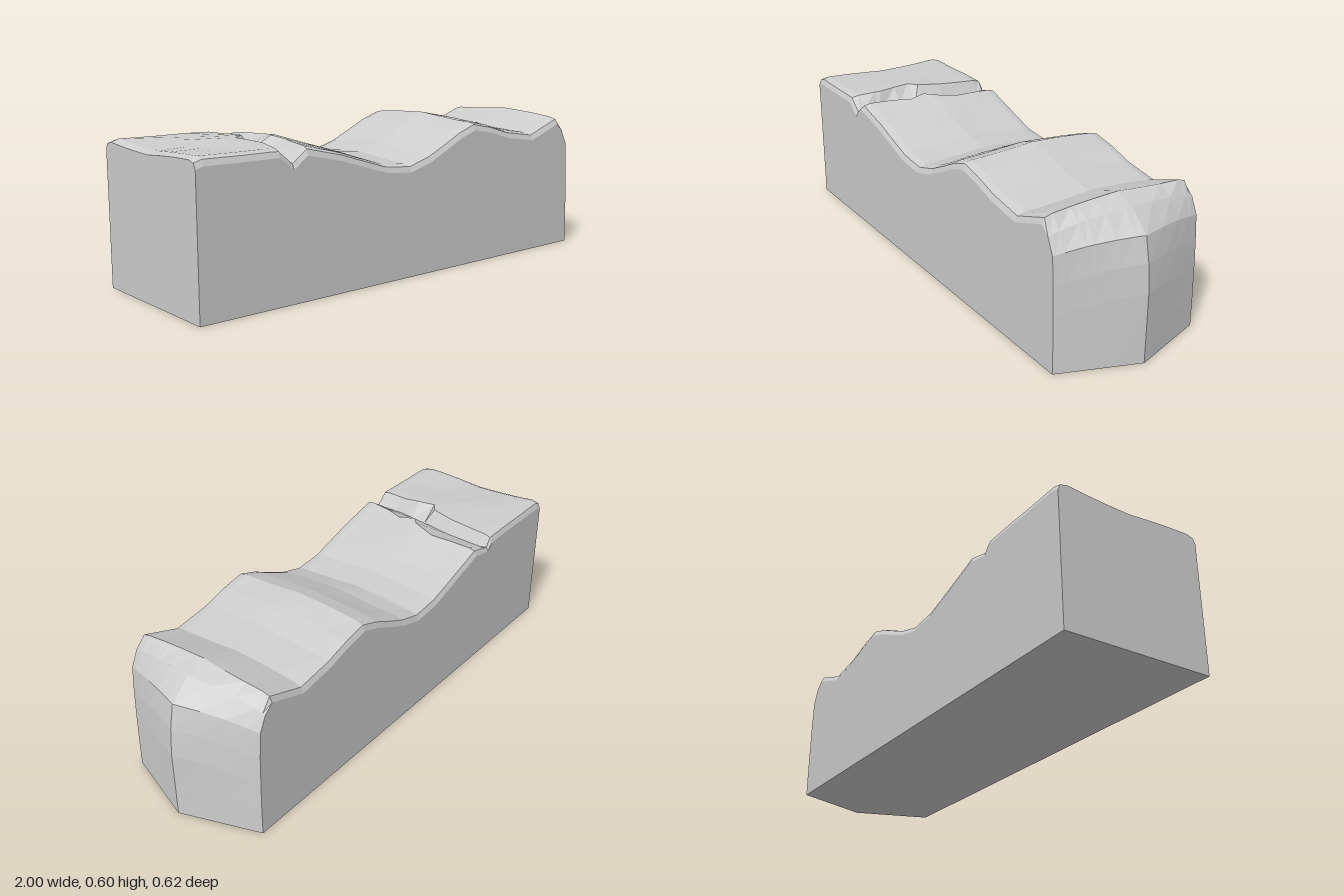
import * as THREE from 'three';

const HALF = 0.31;
// columns across the block, dense enough to shape the crack
const Z = [-0.31, -0.3, -0.27, -0.19, -0.1, 0, 0.03, 0.1, 0.17, 0.2, 0.27, 0.3, 0.31];

// wavy top line along the length: [x, height]
const RIDGE = [[-1, 0.556], [-0.97, 0.567], [-0.82, 0.571], [-0.7, 0.576], [-0.53, 0.577], [-0.46, 0.565],
  [-0.38, 0.538], [-0.28, 0.506], [-0.17, 0.472], [-0.05, 0.461], [0.05, 0.489], [0.13, 0.525],
  [0.22, 0.568], [0.3, 0.595], [0.4, 0.575], [0.5, 0.545], [0.65, 0.522], [0.73, 0.55], [0.81, 0.578]];

// crack lines across the block: [z, value]
const CRACK_LEFT = [[-0.31, -0.585], [-0.1, -0.595], [0, -0.615], [0.03, -0.66], [0.17, -0.64], [0.2, -0.645], [0.31, -0.665]];
const CRACK_FLOOR = [[-0.31, -0.56], [-0.1, -0.565], [0.03, -0.585], [0.17, -0.615], [0.31, -0.605]];
const CRACK_RIGHT = [[-0.31, -0.465], [-0.1, -0.445], [0, -0.475], [0.03, -0.505], [0.1, -0.49], [0.17, -0.515], [0.31, -0.545]];
const CRACK_DEPTH = [[-0.31, 0.03], [-0.27, 0.05], [0, 0.062], [0.17, 0.06], [0.31, 0.045]];

// nose rows: [x at centre, y at centre, x at edge, y at edge]
const NOSE = [[0.89, 0.548, 0.845, 0.5], [0.97, 0.476, 0.874, 0.44],
  [0.99, 0.38, 0.882, 0.33], [1, 0.27, 0.886, 0.22], [1, 0.12, 0.889, 0.11], [1, 0, 0.89, 0]];

function lerpTable(table, t) {
  for (let i = 1; i < table.length; i++) {
    const [a, va] = table[i - 1], [b, vb] = table[i];
    if (t <= b) return va + (vb - va) * Math.max(0, (t - a) / (b - a));
  }
  return table[table.length - 1][1];
}

// height of the worn top: crowned in the middle, bevelled at both long edges
function topHeight(x, z) {
  const a = Math.abs(z);
  const crown = THREE.MathUtils.clamp((x + 1) / 0.4, 0, 1);
  const k = Math.min(a / 0.27, 1);
  let drop = 0.018 * k * crown + 0.016 * (1 - k) * (1 - crown);
  if (a > 0.305) drop += 0.03;
  else if (a > 0.285) drop += 0.008;
  const ripple = a < 0.25 ? 0.003 * Math.sin(17 * x) * Math.sin(11 * z) : 0;
  return lerpTable(RIDGE, x) - drop + ripple;
}

function buildRows() {
  const rows = [];
  const addRow = (fn) => {
    const row = Z.map((z) => [...fn(z), z]);
    // bottom corners close the side walls
    row.unshift([row[0][0], 0, -HALF]);
    row.push([row[row.length - 1][0], 0, HALF]);
    rows.push(row);
  };
  const addTop = (xAt, depthAt = () => 0) =>
    addRow((z) => [xAt(z), topHeight(xAt(z), z) - depthAt(z)]);

  addRow(() => [-1, 0]);                                  // square end
  for (const [x] of RIDGE) {
    if (x > -0.55 && x < -0.4) continue;
    addTop(() => x);
    if (x === -0.7) {                                     // diagonal crack
      addTop((z) => lerpTable(CRACK_LEFT, z));
      addTop((z) => lerpTable(CRACK_FLOOR, z), (z) => lerpTable(CRACK_DEPTH, z));
      addTop((z) => lerpTable(CRACK_RIGHT, z));
    }
  }
  for (const [xc, yc, xe, ye] of NOSE) {                  // wedge-shaped nose
    addRow((z) => {
      const k = Math.abs(z) / HALF;
      return [xc + (xe - xc) * k, yc + (ye - yc) * k * k];
    });
  }
  return rows;
}

function buildGeometry() {
  const rows = buildRows();
  const pos = [];
  const n = rows.length;
  // the last row joins the first one to make the underside
  for (let i = 0; i < n; i++) {
    const p = rows[i], q = rows[(i + 1) % n];
    for (let j = 0; j < p.length - 1; j++) {
      pos.push(...p[j], ...p[j + 1], ...q[j + 1]);
      pos.push(...p[j], ...q[j + 1], ...q[j]);
    }
  }
  const geo = new THREE.BufferGeometry();
  geo.setAttribute('position', new THREE.Float32BufferAttribute(pos, 3));
  geo.computeVertexNormals();
  return geo;
}

export function createModel() {
  const group = new THREE.Group();
  group.name = 'stoneBlock';
  const stone = new THREE.MeshStandardMaterial({ color: 0xcccccc });
  stone.name = 'light grey stone';
  stone.flatShading = true;
  const block = new THREE.Mesh(buildGeometry(), stone);
  block.name = 'wornStoneBlock';
  group.add(block);
  return group;
}
